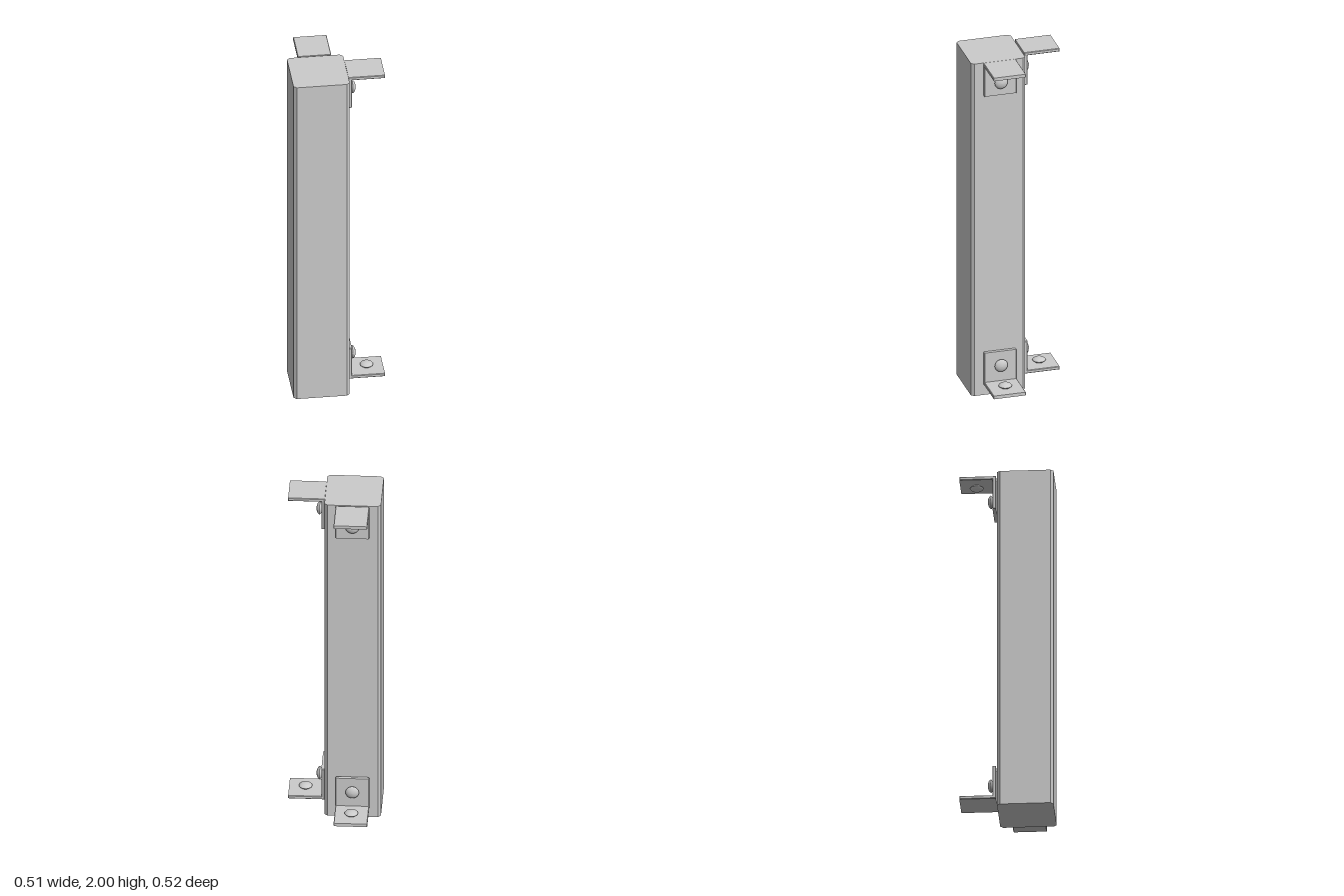
import * as THREE from 'three';

const material = new THREE.MeshStandardMaterial({ color: 0xcccccc });
const flat = new THREE.MeshStandardMaterial({ color: 0xcccccc, flatShading: true });

const LEG = 0.2, HEIGHT = 0.195, THICK = 0.019, WIDTH = 0.184;

function polygon(points) {
  return new THREE.Shape(points.map(([x, y]) => new THREE.Vector2(x, y)));
}

function mesh(name, geometry, mat) {
  const m = new THREE.Mesh(geometry, mat);
  m.name = name;
  return m;
}

// Square post with chamfered long edges
function createPost() {
  const h = 0.154, c = h - 0.016;
  const outline = polygon([[-c, -h], [c, -h], [h, -c], [h, c], [c, h], [-c, h], [-h, c], [-h, -c]]);
  const geometry = new THREE.ExtrudeGeometry(outline, { depth: 2, bevelEnabled: false });
  geometry.rotateX(-Math.PI / 2);
  const post = mesh('post', geometry, flat);
  post.position.set(-0.101, 0, 0.103);
  return post;
}

// L-shaped plate: corner at the origin, legs along +x and +y
const bevel = 0.003;
const plateGeometry = new THREE.ExtrudeGeometry(
  polygon([[0, 0], [LEG, 0], [LEG, THICK], [THICK, THICK], [THICK, HEIGHT], [0, HEIGHT]]),
  { depth: WIDTH - 2 * bevel, bevelSize: bevel, bevelThickness: bevel, bevelOffset: -bevel, bevelSegments: 1 }
);
plateGeometry.translate(0, 0, -WIDTH / 2 + bevel);

// Domed screw head, narrower under the rim, pointing along +y
const screwGeometry = new THREE.LatheGeometry(
  [[0.022, -0.004], [0.025, 0.003], [0.036, 0.011], [0.037, 0.014], [0.033, 0.02], [0.024, 0.026], [0.012, 0.03], [0, 0.031]]
    .map(([r, y]) => new THREE.Vector2(r, y)), 24);

function createBracket(name) {
  const bracket = new THREE.Group();
  bracket.name = name;
  const flatScrew = mesh('horizontalLegScrew', screwGeometry, material);
  flatScrew.position.set(0.11, THICK, 0);
  flatScrew.scale.y = 0.9;
  const wallScrew = mesh('verticalLegScrew', screwGeometry, material);
  wallScrew.position.set(THICK, 0.115, 0);
  wallScrew.rotation.z = -Math.PI / 2;
  bracket.add(mesh('anglePlate', plateGeometry, flat), flatScrew, wallScrew);
  return bracket;
}

export function createModel() {
  const model = new THREE.Group();
  model.name = 'postWithBrackets';
  model.add(createPost());

  // Upper and lower brackets on the left and back faces
  const sides = [
    { name: 'Left', x: 0.054, z: 0.099, turn: 0 },
    { name: 'Back', x: -0.101, z: -0.06, turn: Math.PI / 2 },
  ];
  for (const { name, x, z, turn } of sides) {
    for (const upper of [false, true]) {
      const bracket = createBracket((upper ? 'upper' : 'lower') + name + 'Bracket');
      bracket.rotation.set(upper ? Math.PI : 0, turn, 0, 'YXZ');
      bracket.position.set(x, upper ? 2 : 0.065, z);
      model.add(bracket);
    }
  }
  return model;
}
